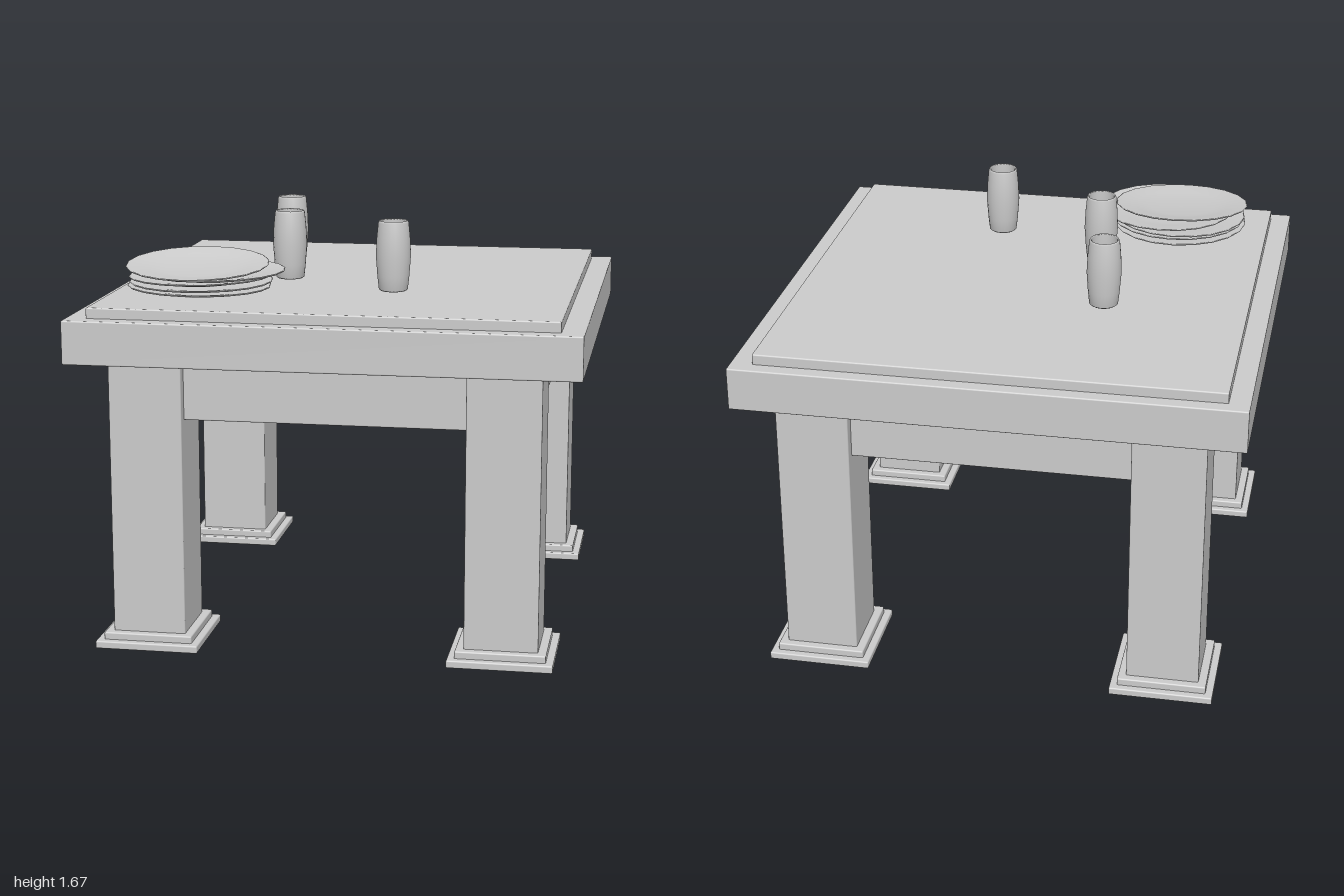
import * as THREE from 'three';
import { RoundedBoxGeometry } from 'three/addons/geometries/RoundedBoxGeometry.js';

const grey = new THREE.MeshStandardMaterial({ color: 0xcccccc });
const greyThin = new THREE.MeshStandardMaterial({ color: 0xcccccc, side: THREE.DoubleSide });

// Block with slightly eased edges, placed by its bottom and top heights
function block(name, w, d, y0, y1, x = 0, z = 0, ease = 0.006) {
  const mesh = new THREE.Mesh(new RoundedBoxGeometry(w, y1 - y0, d, 2, ease), grey);
  mesh.name = name;
  mesh.position.set(x, (y0 + y1) / 2, z);
  return mesh;
}

function turned(name, points, segments) {
  const profile = points.map(([r, y]) => new THREE.Vector2(r, y));
  const mesh = new THREE.Mesh(new THREE.LatheGeometry(profile, segments), greyThin);
  mesh.name = name;
  return mesh;
}

export function createModel() {
  const table = new THREE.Group();
  table.name = 'table';

  // Table top: thick slab with a thinner raised panel
  table.add(block('tableSlab', 2, 2, 1.152, 1.325));
  table.add(block('raisedPanel', 1.83, 1.88, 1.315, 1.367, -0.003, -0.003));

  // Square legs on stepped feet
  const legX = 0.7, legZ = 0.76;
  for (const sx of [-1, 1]) {
    for (const sz of [-1, 1]) {
      const leg = new THREE.Group();
      leg.name = 'leg';
      leg.position.set(sx * legX, 0, sz * legZ);
      leg.add(block('post', 0.29, 0.29, 0.05, 1.16));
      leg.add(block('footStep', 0.355, 0.355, 0.025, 0.06));
      leg.add(block('footPad', 0.413, 0.413, 0, 0.031));
      table.add(leg);
    }
  }

  // Rails between the legs
  for (const s of [-1, 1]) {
    table.add(block('railAlongX', 2 * legX - 0.28, 0.2, 0.92, 1.16, 0, s * legZ));
    table.add(block('railAlongZ', 0.2, 2 * legZ - 0.28, 0.92, 1.16, s * legX, 0));
  }

  // Barrel-shaped tumblers
  const cupProfile = [
    [0, 0], [0.05, 0], [0.058, 0.006], [0.064, 0.06], [0.07, 0.14], [0.067, 0.21],
    [0.061, 0.272], [0.057, 0.28], [0.051, 0.275], [0.058, 0.21], [0.06, 0.14],
    [0.054, 0.06], [0.046, 0.02], [0, 0.018],
  ];
  for (const [x, z] of [[-0.345, -0.265], [-0.26, 0.207], [0.207, 0.452]]) {
    const cup = turned('cup', cupProfile, 24);
    cup.position.set(x, 1.386, z);
    table.add(cup);
  }

  // Loosely stacked plates: x, y, z, tilt about x, tilt about z
  const plateProfile = [
    [0, 0], [0.13, 0], [0.28, 0.027], [0.284, 0.031], [0.279, 0.033],
    [0.2, 0.021], [0.13, 0.009], [0, 0.008],
  ];
  const plates = [
    [-0.545, 1.385, 0.615, 0, -0.015],
    [-0.535, 1.405, 0.62, 0.01, 0],
    [-0.54, 1.425, 0.61, 0, 0.01],
    [-0.485, 1.445, 0.615, 0.01, 0.01],
    [-0.55, 1.47, 0.613, 0.09, -0.005],
  ];
  for (const [x, y, z, rx, rz] of plates) {
    const plate = turned('plate', plateProfile, 20);
    plate.position.set(x, y, z);
    plate.rotation.set(rx, 0, rz);
    table.add(plate);
  }

  return table;
}
